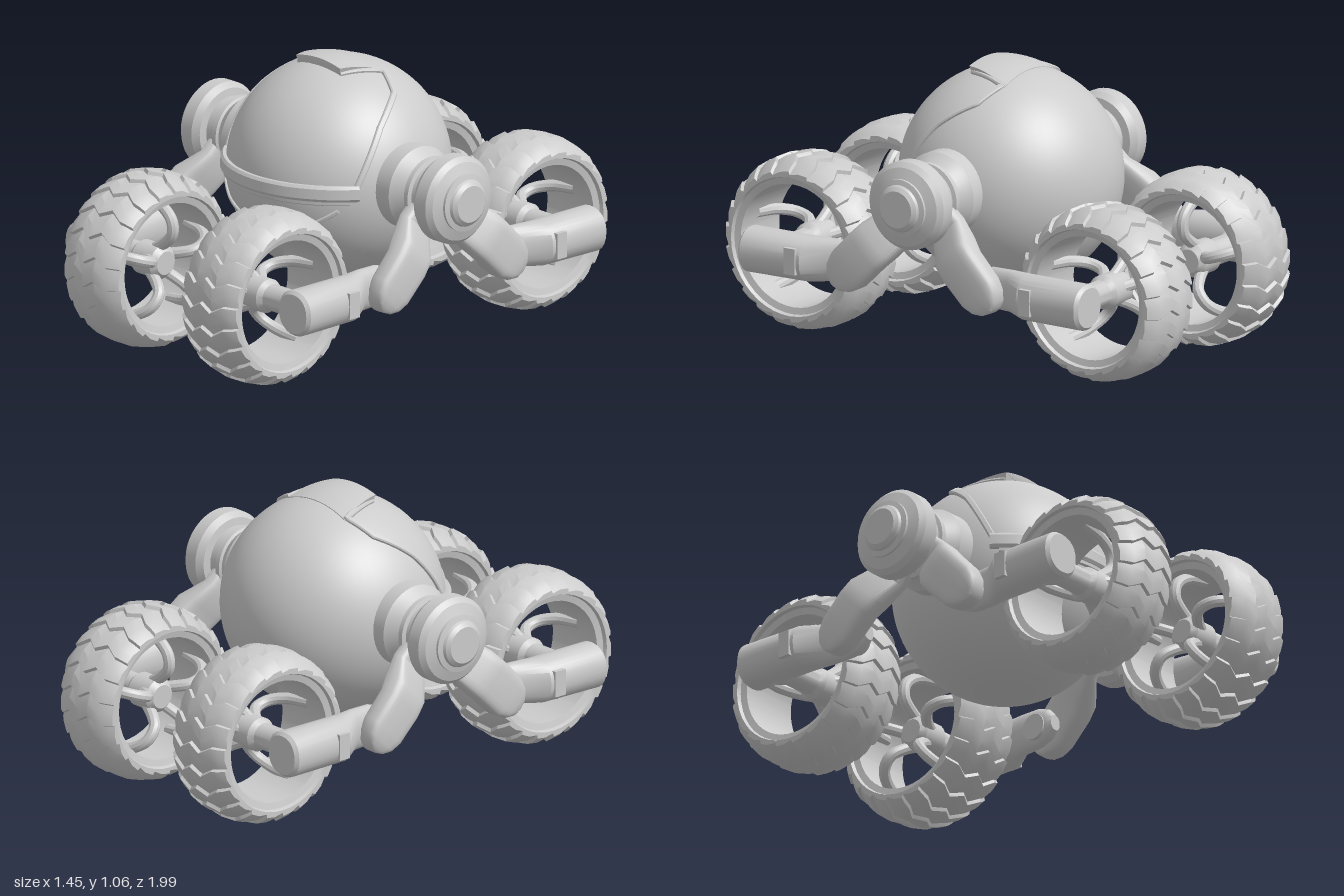
import * as THREE from 'three';
import { toCreasedNormals } from 'three/addons/utils/BufferGeometryUtils.js';

const mat = new THREE.MeshStandardMaterial({ color: 0xcccccc });
const V = (x, y, z) => new THREE.Vector3(x, y, z);
const CENTER = V(0, 0.62, -0.015), R = 0.42;   // body ball
const HUB_Y = 0.635, WHEEL = V(0.315, 0.335, 0.665);

function part(name, geo, crease = 0.6) {
  const mesh = new THREE.Mesh(toCreasedNormals(geo, crease), mat);
  mesh.name = name;
  return mesh;
}

// Skin a row of equal-length vertex loops; faces always end up pointing outward.
function loft(loops, closed = false) {
  const n = loops[0].length, m = loops.length, pts = loops.flat(), idx = [];
  for (let i = 0; i < (closed ? m : m - 1); i++) {
    for (let j = 0; j < n; j++) {
      const a = i * n + j, b = i * n + (j + 1) % n;
      const c = ((i + 1) % m) * n + j, d = ((i + 1) % m) * n + (j + 1) % n;
      idx.push(a, b, d, a, d, c);
    }
  }
  if (!closed) {
    for (let j = 1; j < n - 1; j++) {
      const e = (m - 1) * n;
      idx.push(0, j + 1, j, e, e + j, e + j + 1);
    }
  }
  let volume = 0;
  const cross = V(0, 0, 0);
  for (let i = 0; i < idx.length; i += 3) {
    volume += pts[idx[i]].dot(cross.crossVectors(pts[idx[i + 1]], pts[idx[i + 2]]));
  }
  if (volume < 0) idx.reverse();
  const geo = new THREE.BufferGeometry().setFromPoints(pts);
  geo.setIndex(idx);
  return geo;
}

// Limb running from a start point along dir; sections are [distance, xInner, xOuter, halfWidth].
function limb(start, dir, sections, power) {
  const across = V(1, 0, 0).cross(dir).normalize();
  const bend = v => Math.sign(v) * Math.abs(v) ** power;
  return loft(sections.map(([s, x0, x1, hw]) => Array.from({ length: 24 }, (_, i) => {
    const a = i / 24 * Math.PI * 2;
    const p = start.clone().addScaledVector(dir, s).addScaledVector(across, hw * bend(Math.sin(a)));
    p.x = (x0 + x1) / 2 + (x1 - x0) / 2 * bend(Math.cos(a));
    return p;
  })));
}

// Raised strip following points projected onto the body ball.
function strip(points, width, raise) {
  const path = [];
  points.forEach((p, i) => {
    if (!i) return;
    for (let k = i > 1 ? 1 : 0; k <= 10; k++) {
      path.push(points[i - 1].clone().lerp(p, k / 10).sub(CENTER).normalize());
    }
  });
  return loft(path.map((n, i) => {
    const t = path[Math.min(i + 1, path.length - 1)].clone().sub(path[Math.max(i - 1, 0)]);
    const side = t.cross(n).normalize();
    return [[-0.5, R - 0.02], [-0.5, R + raise * 0.6], [-0.32, R + raise],
      [0.32, R + raise], [0.5, R + raise * 0.6], [0.5, R - 0.02]].map(([u, r]) =>
      CENTER.clone().addScaledVector(n, r).addScaledVector(side, u * width));
  }));
}

function makeBody() {
  const body = new THREE.Group();
  body.name = 'body';
  const ball = part('bodyBall', new THREE.SphereGeometry(R, 64, 40), 1);
  ball.position.copy(CENTER);
  body.add(ball);

  // raised brow tab on the crown, fading out toward the back
  const rows = [];
  for (let i = 0; i <= 8; i++) {
    const t = i / 8, z = 0.1 - 0.185 * t, half = 0.11 + 0.055 * t, loop = [];
    for (const [r, dir] of [[R + 0.028 * (1 - t) + 0.003, 1], [R - 0.02, -1]]) {
      for (let j = -6; j <= 6; j++) {
        const x = dir * j / 6 * half;
        loop.push(CENTER.clone().addScaledVector(V(x, Math.sqrt(R * R - x * x - z * z), z).normalize(), r));
      }
    }
    rows.push(loop);
  }
  body.add(part('browTab', loft(rows)));

  // frame around the face
  for (const s of [1, -1]) {
    body.add(part('faceFrame', strip([V(s * 0.11, 1.03, 0.085), V(s * 0.165, 1.01, -0.09),
      V(s * 0.26, 0.945, -0.045), V(s * 0.33, 0.86, 0.09), V(s * 0.34, 0.65, 0.225)], 0.024, 0.012)));
  }
  const front = (x, y) => V(x, y, CENTER.z + Math.sqrt(R * R - x * x - (y - CENTER.y) ** 2));
  const arc = (half, y, lift) => Array.from({ length: 7 }, (_, i) => {
    const u = i / 3 - 1;
    return front(Math.sin(u * 1.2) / Math.sin(1.2) * half, y + lift * u * u);
  });
  body.add(part('faceBand', strip(arc(0.35, 0.638, 0), 0.06, 0.02)));
  body.add(part('faceBandLip', strip(arc(0.33, 0.603, 0), 0.02, 0.01)));
  body.add(part('chinTrim', strip(arc(0.3, 0.48, 0.09), 0.016, 0.009)));
  return body;
}

function makeWheel() {
  const wheel = new THREE.Group();
  wheel.name = 'wheel';
  // tread cross-section: [x, radius, zigzag shift]
  const tread = [[-0.145, 0.288, 0], [-0.125, 0.305, 0], [-0.1, 0.32, 0], [-0.05, 0.332, 1], [0, 0.335, 0],
    [0.05, 0.332, 1], [0.1, 0.32, 0], [0.125, 0.305, 0], [0.145, 0.288, 0]];
  const rim = [[0.145, 0.265], [0.13, 0.26], [0.124, 0.235], [-0.124, 0.235], [-0.13, 0.26], [-0.145, 0.265]];
  const teeth = 22, loops = [];
  for (let k = 0; k < teeth; k++) {
    for (const [f, drop] of [[0, 0.013], [0.07, 0], [0.55, 0.003]]) {
      const a = (k + f) / teeth * Math.PI * 2;
      const at = (x, r, b) => V(x, r * Math.cos(b), r * Math.sin(b));
      loops.push([...tread.map(([x, r, z]) => at(x, r - drop, a + z * 0.09)),
        ...rim.map(([x, r]) => at(x, r, a))]);
    }
  }
  wheel.add(part('tyre', loft(loops, true), 0.45));

  // five arched spokes bulging toward the body
  const arch = new THREE.CatmullRomCurve3([V(0.03, 0.245, 0), V(-0.07, 0.222, 0), V(-0.13, 0.175, 0),
    V(-0.135, 0.12, 0), V(-0.09, 0.075, 0), V(-0.03, 0.04, 0)]);
  for (let i = 0; i < 5; i++) {
    const spoke = part('spoke', new THREE.TubeGeometry(arch, 20, 0.022, 10));
    spoke.rotation.x = i / 5 * Math.PI * 2;
    wheel.add(spoke);
  }
  const hub = [[0, -0.1], [0.045, -0.1], [0.065, -0.08], [0.065, 0.02], [0.05, 0.04], [0.05, 0.15],
    [0.08, 0.24], [0, 0.24]].map(p => new THREE.Vector2(...p));
  wheel.add(part('wheelHub', new THREE.LatheGeometry(hub, 32).rotateZ(-Math.PI / 2)));
  return wheel;
}

// Shoulder hub with a front and a rear leg, on the +x side.
function makeSide(name) {
  const side = new THREE.Group();
  side.name = name;
  const profile = [[0, 0.34], [0.16, 0.34], [0.16, 0.45], [0.148, 0.465], [0.125, 0.5], [0.135, 0.505],
    [0.135, 0.525], [0.12, 0.53], [0.12, 0.57], [0.15, 0.574], [0.168, 0.6], [0.168, 0.655], [0.15, 0.675],
    [0.11, 0.69], [0.11, 0.7], [0.09, 0.705], [0.085, 0.715], [0.07, 0.727], [0, 0.727]];
  const hub = part('shoulderHub',
    new THREE.LatheGeometry(profile.map(p => new THREE.Vector2(...p)), 40).rotateZ(-Math.PI / 2), 0.4);
  hub.position.y = HUB_Y;
  side.add(hub);

  for (const s of [1, -1]) {
    const leg = new THREE.Group();
    leg.name = s > 0 ? 'frontLeg' : 'rearLeg';
    leg.add(part('upperArm', limb(V(0, HUB_Y, 0), V(0, -1, s).normalize(), [[0.02, 0.5, 0.57, 0.07],
      [0.15, 0.5, 0.57, 0.08], [0.24, 0.525, 0.64, 0.09], [0.3, 0.55, 0.65, 0.09], [0.42, 0.555, 0.65, 0.088],
      [0.465, 0.555, 0.648, 0.072], [0.495, 0.56, 0.64, 0.045], [0.508, 0.57, 0.63, 0.015]], 0.5)));
    leg.add(part('lowerLeg', limb(V(0, 0.342, 0), V(0, 0, s), [[0.225, 0.5, 0.55, 0.03],
      [0.25, 0.49, 0.56, 0.06], [0.3, 0.49, 0.565, 0.078], [0.39, 0.49, 0.575, 0.08],
      [0.49, 0.488, 0.652, 0.086], [0.755, 0.488, 0.658, 0.087], [0.768, 0.5, 0.646, 0.075]], 0.9)));
    const pin = part('kneePin', new THREE.CylinderGeometry(0.05, 0.05, 0.16, 24).rotateZ(Math.PI / 2));
    pin.position.set(0.565, 0.335, s * 0.3);
    const latch = part('legLatch', new THREE.BoxGeometry(0.05, 0.1, 0.05));
    latch.position.set(0.633, 0.342, s * 0.53);
    const wheel = makeWheel();
    wheel.position.set(WHEEL.x, WHEEL.y, s * WHEEL.z);
    leg.add(pin, latch, wheel);
    side.add(leg);
  }
  return side;
}

export function createModel() {
  const model = new THREE.Group();
  model.name = 'rover';
  const left = makeSide('leftSide'), right = makeSide('rightSide');
  right.rotation.y = Math.PI;
  model.add(makeBody(), left, right);
  return model;
}
